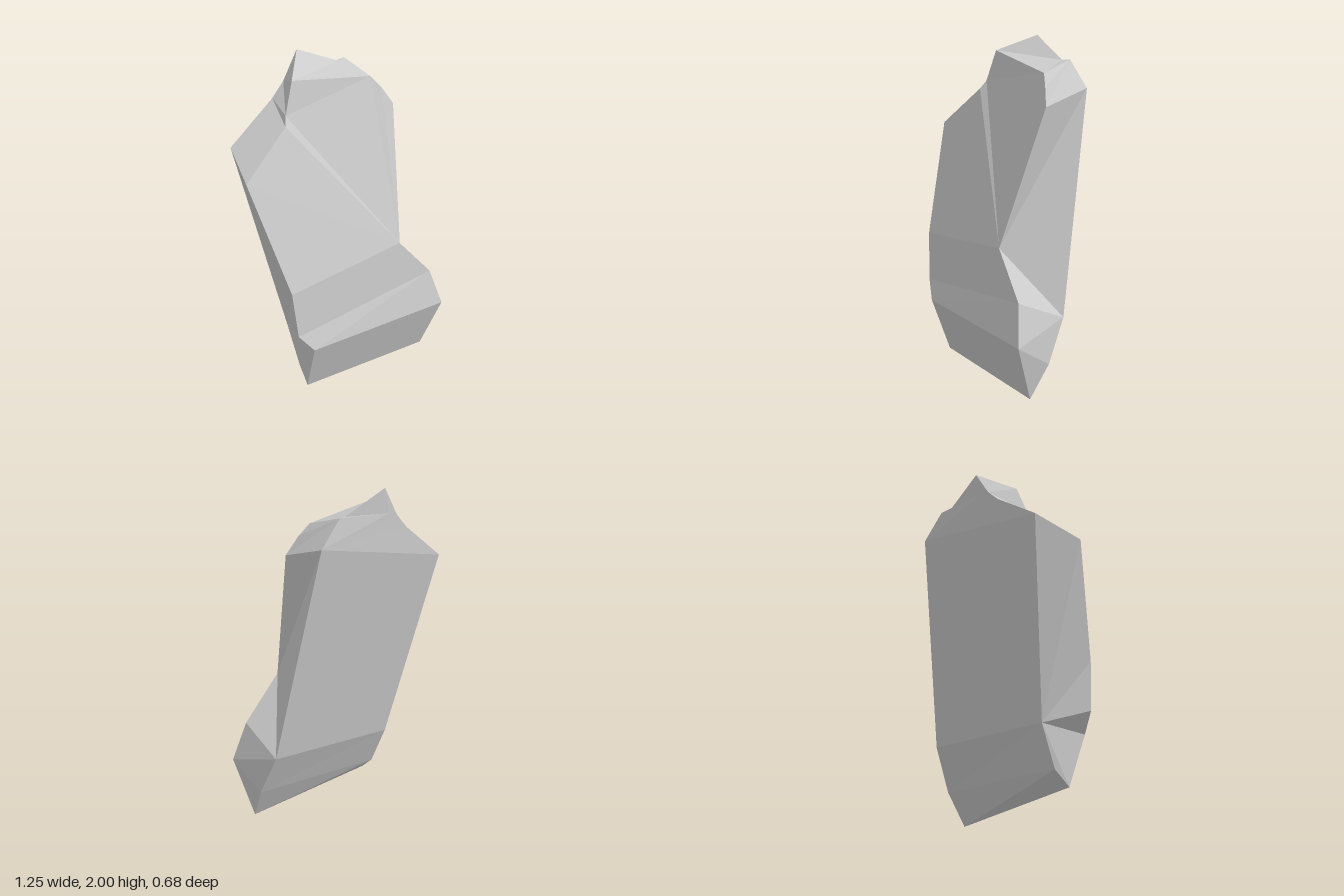
import * as THREE from 'three';

// Named corners of the carved slab
const corners = {
  // front folds, from the ground up (L/R = smaller/larger x)
  baseL: [-0.33, 0.04, 0.22], baseR: [0.55, 0, 0.12],
  lipL: [-0.34, 0.37, 0.335], lipR: [0.625, 0.345, 0.235],
  stepL: [-0.43, 0.48, 0.31], stepR: [0.55, 0.58, 0.195],
  waistL: [-0.46, 0.77, 0.295], waistR: [0.32, 0.845, 0.2],
  shoulderL: [-0.63, 1.43, 0.105], shoulderR: [0.405, 1.645, -0.05],
  neckL1: [-0.33, 1.67, 0], neckL2: [-0.31, 1.72, -0.035],
  neckR: [0.34, 1.75, -0.08],
  // raised cap
  capL: [-0.25, 1.905, -0.07], capR: [0.28, 1.82, -0.105],
  peak: [-0.11, 2, -0.275], capBackR: [0.17, 1.875, -0.285],
  // back
  rimR: [0.22, 1.88, -0.31], rimMid: [-0.15, 1.85, -0.265],
  rimL: [-0.21, 1.834, -0.255], rimLow: [-0.29, 1.75, -0.24],
  backTopR: [0.36, 1.73, -0.34], backTopL: [-0.585, 1.525, -0.19],
  backLowR: [0.53, 0.45, -0.105], backLowL: [-0.355, 0.367, 0.015],
  heelR: [0.57, 0.2, 0.01], heelL: [-0.33, 0.125, 0.12],
};

// Facets of each part, counter-clockwise from outside, fanned from the first corner
const parts = {
  frontFace: [
    'baseL baseR lipR lipL',
    'lipL lipR stepR stepL',
    'stepL stepR waistR waistL',
    'waistR shoulderR neckR capR neckL2 neckL1 shoulderL waistL',
    'neckL2 capR capL',
  ],
  leftSide: [
    'waistR backLowR backTopR shoulderR',
    'waistR stepR backLowR',
    'lipR baseR heelR backLowR stepR',
  ],
  rightSide: ['backLowL heelL baseL lipL stepL waistL shoulderL backTopL'],
  backFace: ['backTopR backLowR backLowL backTopL rimLow rimL rimMid rimR'],
  underside: ['heelR heelL backLowL backLowR', 'baseR baseL heelL heelR'],
  shoulders: [
    'backTopL shoulderL neckL1 rimLow',
    'rimLow neckL1 neckL2 rimL',
    'rimR capR neckR shoulderR backTopR',
  ],
  cap: [
    'capL capR capBackR peak',
    'capR rimR capBackR',
    'rimL neckL2 capL peak rimMid',
    'rimMid peak capBackR rimR',
  ],
};

function facetGeometry(facets) {
  const positions = [];
  for (const facet of facets) {
    const p = facet.split(' ').map((name) => corners[name]);
    for (let i = 1; i < p.length - 1; i++) positions.push(...p[0], ...p[i], ...p[i + 1]);
  }
  const geometry = new THREE.BufferGeometry();
  geometry.setAttribute('position', new THREE.Float32BufferAttribute(positions, 3));
  geometry.computeVertexNormals();
  return geometry;
}

export function createModel() {
  const rock = new THREE.Group();
  rock.name = 'standingStone';
  const stone = new THREE.MeshStandardMaterial({ color: 0xcccccc, flatShading: true });
  for (const [name, facets] of Object.entries(parts)) {
    const mesh = new THREE.Mesh(facetGeometry(facets), stone);
    mesh.name = name;
    rock.add(mesh);
  }
  return rock;
}
